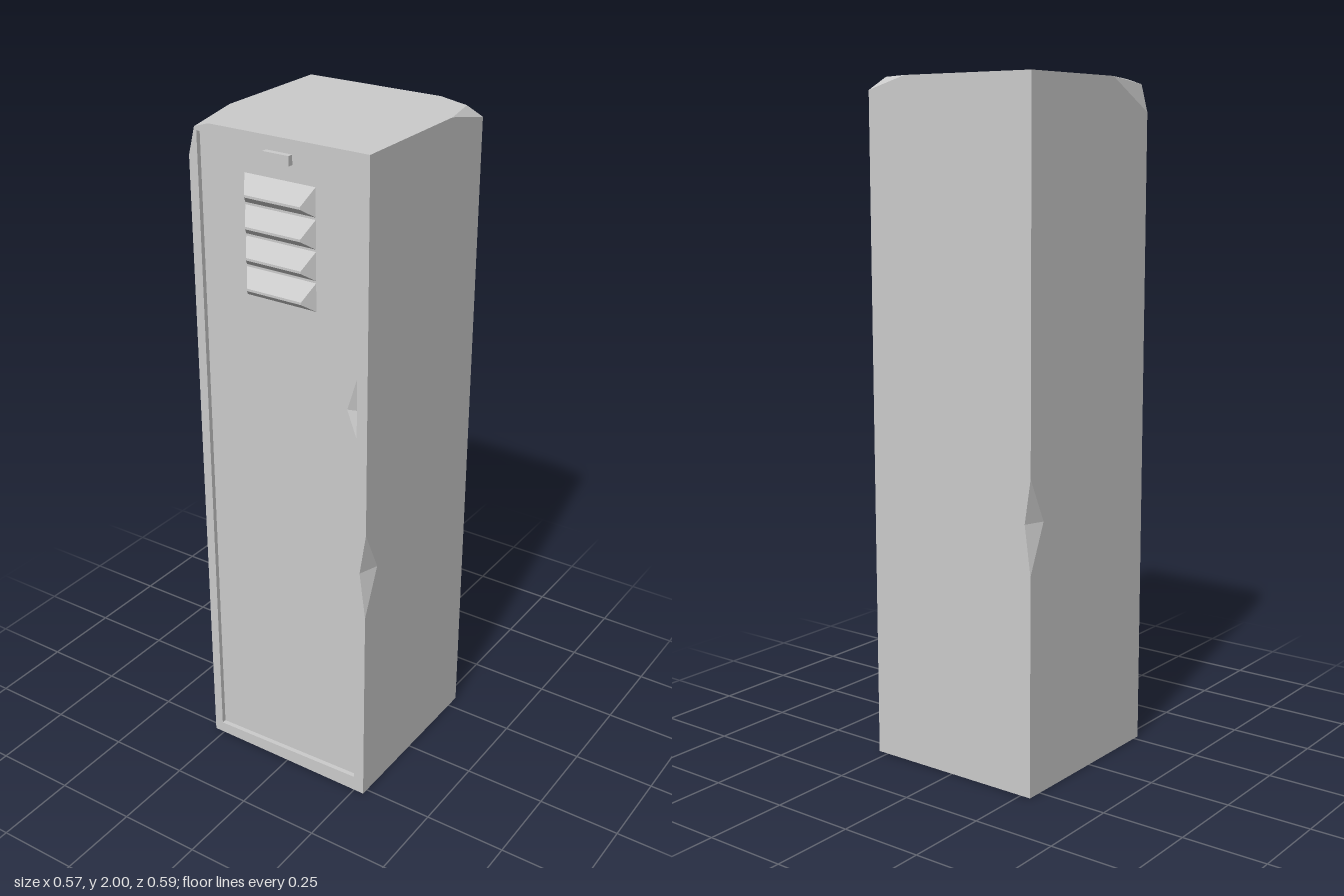
import * as THREE from 'three';

const X = 0.283, H = 2, F = 0.271, B = -0.297, D = 0.257; // half width, height, front, back, door plane

// Collects flat polygons; each is turned to face its outward direction.
function faceBuilder() {
  const pos = [];
  const face = (pts, out, hole = []) => {
    const a = out.map(Math.abs), drop = a.indexOf(Math.max(...a));
    const flat = p => new THREE.Vector2(...p.filter((_, i) => i !== drop));
    const all = [...pts, ...hole].map(p => new THREE.Vector3(...p));
    const tris = THREE.ShapeUtils.triangulateShape(pts.map(flat), hole.length ? [hole.map(flat)] : []);
    for (const t of tris) {
      const [p, q, r] = t.map(i => all[i]);
      const n = q.clone().sub(p).cross(r.clone().sub(p));
      const order = n.dot(new THREE.Vector3(...out)) < 0 ? [p, r, q] : [p, q, r];
      order.forEach(v => pos.push(v.x, v.y, v.z));
    }
  };
  const mesh = (name, material) => {
    const g = new THREE.BufferGeometry();
    g.setAttribute('position', new THREE.Float32BufferAttribute(pos, 3));
    g.computeVertexNormals();
    const m = new THREE.Mesh(g, material);
    m.name = name;
    return m;
  };
  return { face, mesh };
}

export function createModel() {
  const group = new THREE.Group();
  group.name = 'locker';
  const mat = new THREE.MeshStandardMaterial({ color: 0xcccccc, flatShading: true });

  // Door opening, with a slightly slanted bottom edge
  const opening = z => [[-0.255, 0.035, z], [0.25, 0.05, z], [0.25, 1.975, z], [-0.255, 1.975, z]];

  // Dented corners and edges of the cabinet
  const a1 = [-X, H, 0.09], b1 = [-0.215, H, F], c1 = [-X, 1.905, F], m1 = [-0.262, 1.985, F];
  const a2 = [X, H, -0.13], b2 = [0.15, H, B], c2 = [X, 1.963, B], m2 = [0.255, H, -0.255];
  const topR = [X, 0.92, F], botR = [X, 0.645, F], frontR = [0.263, 0.79, F], sideR = [X, 0.79, 0.21];
  const topL = [-X, 0.92, B], botL = [-X, 0.645, B], backL = [-0.263, 0.79, B], sideL = [-X, 0.79, -0.236];

  // Cabinet shell
  const shell = faceBuilder();
  shell.face([[-X, 0, F], [X, 0, F], botR, frontR, topR, [X, H, F], b1, m1, c1], [0, 0, 1], opening(F));
  shell.face([[-X, 0, B], [X, 0, B], c2, b2, [-X, H, B], topL, backL, botL], [0, 0, -1]);
  shell.face([[X, 0, B], [X, 0, F], botR, sideR, topR, [X, H, F], a2, c2], [1, 0, 0]);
  shell.face([[-X, 0, F], [-X, 0, B], botL, sideL, topL, [-X, H, B], a1, c1], [-1, 0, 0]);
  shell.face([[-X, H, B], b2, m2, a2, [X, H, F], b1, a1], [0, 1, 0]);
  shell.face([[-X, 0, B], [X, 0, B], [X, 0, F], [-X, 0, F]], [0, -1, 0]);
  // Corner dents
  shell.face([a1, b1, m1], [-0.3, 1, 0.2]);
  shell.face([a1, m1, c1], [-1, 0.3, 0.2]);
  shell.face([b2, m2, c2], [0.2, 0.5, -1]);
  shell.face([m2, a2, c2], [1, 0.5, -0.2]);
  // Edge dents
  shell.face([topR, frontR, sideR], [1, -0.2, 0.4]);
  shell.face([botR, frontR, sideR], [1, 0.2, 0.4]);
  shell.face([topL, backL, sideL], [-1, -0.2, -0.4]);
  shell.face([botL, backL, sideL], [-1, 0.2, -0.4]);
  // Walls of the door recess
  const near = opening(F), far = opening(D);
  [[0, 1, 0], [-1, 0, 0], [0, -1, 0], [1, 0, 0]].forEach((out, i) => {
    const j = (i + 1) % 4;
    shell.face([near[i], near[j], far[j], far[i]], out);
  });
  group.add(shell.mesh('cabinet', mat));

  // Recessed door with a dent at its edge
  const door = faceBuilder();
  const up = [0.25, 1.41, D], mid = [0.21, 1.285, D], low = [0.25, 1.18, D], deep = [0.25, 1.28, 0.235];
  door.face([far[0], far[1], low, mid, up, far[2], far[3]], [0, 0, 1]);
  door.face([up, mid, deep], [0, 0, 1]);
  door.face([low, mid, deep], [0, 0, 1]);
  door.face([up, deep, low], [-1, 0, 0]);
  group.add(door.mesh('door', mat));

  // Louvred vents
  for (let i = 0; i < 4; i++) {
    const v = faceBuilder(), y = 1.884 - i * 0.0865, z = 0.293, w = 0.112, n = 0.088;
    const lipTop = y - 0.047, lipLow = y - 0.054, base = y - 0.08;
    v.face([[-n, y, D], [n, y, D], [n, lipTop, z], [-n, lipTop, z]], [0, 0.6, 1]);
    v.face([[-n, lipTop, z], [n, lipTop, z], [n, lipLow, z], [-n, lipLow, z]], [0, 0, 1]);
    v.face([[-n, lipLow, z], [n, lipLow, z], [w, base, D], [-w, base, D]], [0, -1, 0.7]);
    for (const s of [-1, 1]) {
      v.face([[s * n, y, D], [s * w, y, D], [s * n, lipTop, z]], [s * 0.5, 0.5, 1]);
      v.face([[s * w, y, D], [s * w, base, D], [s * n, lipTop, z]], [s, 0, 0.7]);
      v.face([[s * n, lipTop, z], [s * n, lipLow, z], [s * w, base, D]], [s, 0, 0.7]);
    }
    group.add(v.mesh('ventLouvre' + (i + 1), mat));
  }

  // Label plate above the vents
  const plate = new THREE.Mesh(new THREE.BoxGeometry(0.082, 0.027, 0.016), mat);
  plate.name = 'labelPlate';
  plate.position.set(0, 1.943, D + 0.008);
  group.add(plate);

  return group;
}
